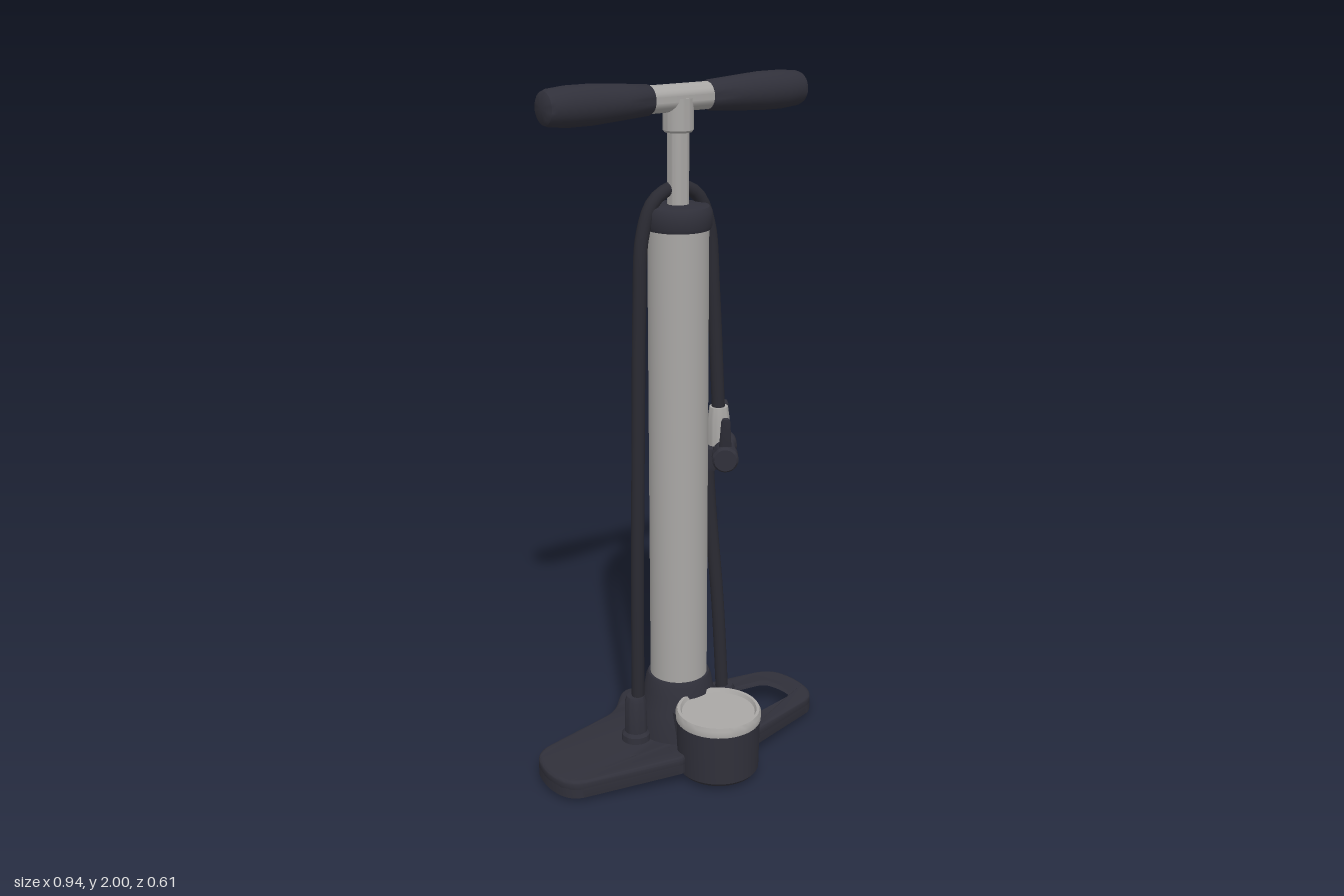
import * as THREE from 'three';
import { toCreasedNormals } from 'three/addons/utils/BufferGeometryUtils.js';

const V = (x, y, z) => new THREE.Vector3(x, y, z);
const AXIS_Z = -0.022; // depth of the pump axis

export function createModel() {
  const group = new THREE.Group();
  const mat = (name, color) => {
    const m = new THREE.MeshStandardMaterial({ color });
    m.name = name;
    return m;
  };
  const dark = mat('dark plastic', 0x30303a);
  const rubber = mat('hose rubber', 0x2a2a32);
  const metal = mat('grey metal', 0xa9a7a5);

  const add = (name, geometry, material, pos = [0, 0, 0]) => {
    const mesh = new THREE.Mesh(geometry, material);
    mesh.name = name;
    mesh.position.set(...pos);
    group.add(mesh);
    return mesh;
  };
  // Turned part from [radius, height] pairs, bottom to top
  const turned = (pts, seg = 40) => toCreasedNormals(
    new THREE.LatheGeometry(pts.map(p => new THREE.Vector2(...p)), seg), 0.6);
  // Turned part whose profile runs from point a towards point b
  const turnedAlong = (name, pts, material, a, b) => {
    const mesh = add(name, turned(pts, 28), material, a.toArray());
    mesh.quaternion.setFromUnitVectors(V(0, 1, 0), b.clone().sub(a).normalize());
    return mesh;
  };
  // Closed path with rounded corners from [x, z, radius] points
  const rounded = (pts, Type = THREE.Path) => {
    const path = new Type();
    const P = pts.map(p => new THREE.Vector2(p[0], -p[1]));
    P.forEach((p, i) => {
      const prev = P[(i + P.length - 1) % P.length], next = P[(i + 1) % P.length];
      const toward = q => p.clone().add(q.clone().sub(p).setLength(
        Math.min(pts[i][2], q.distanceTo(p) * 0.48)));
      const a = toward(prev), b = toward(next);
      if (i === 0) path.moveTo(a.x, a.y); else path.lineTo(a.x, a.y);
      path.quadraticCurveTo(p.x, p.y, b.x, b.y);
    });
    path.closePath();
    return path;
  };

  // Foot plate: deck over a hollow skirt, lifted at the front, lowered at the back
  const half = [[0.12, -0.2, 0.06], [0.2, -0.18, 0.04], [0.445, -0.13, 0.06],
    [0.475, -0.02, 0.06], [0.455, 0.08, 0.05], [0.13, 0.188, 0.02], [0.08, 0.15, 0.02]];
  const outline = [[0, -0.335, 0.07], ...half,
    ...half.map(([x, z, r]) => [-x, z, r]).reverse()];
  const grip = [[0.225, -0.115, 0.02], [0.39, -0.09, 0.03], [0.415, -0.01, 0.04],
    [0.395, 0.055, 0.03], [0.225, 0.085, 0.02], [0.25, 0, 0.05]];
  const smallHoles = [
    [[-0.245, 0.055, 0.01], [-0.19, 0.048, 0.01], [-0.185, 0.08, 0.01]],
    [[0.185, 0.06, 0.006], [0.203, 0.056, 0.006], [0.198, 0.07, 0.006]],
    [[-0.142, 0.09, 0.01], [-0.1, 0.07, 0.01], [-0.122, 0.14, 0.01]],
    [[0.142, 0.09, 0.01], [0.1, 0.07, 0.01], [0.122, 0.14, 0.01]]];
  const hollow = [[0, -0.27, 0.05], [0.1, -0.18, 0.04], [0.2, -0.155, 0.02], [0.2, 0.125, 0.02],
    [0.12, 0.15, 0.02], [0.06, 0.12, 0.02], [-0.06, 0.12, 0.02], [-0.12, 0.15, 0.02],
    [-0.43, 0.06, 0.04], [-0.445, -0.02, 0.04], [-0.42, -0.105, 0.04],
    [-0.2, -0.155, 0.02], [-0.1, -0.18, 0.04]];
  const plate = (holes, y, depth, bevel) => {
    const shape = rounded(outline, THREE.Shape);
    shape.holes = holes.map(h => rounded(h));
    const g = new THREE.ExtrudeGeometry(shape, {
      depth: depth - 2 * bevel, curveSegments: 8, bevelEnabled: bevel > 0,
      bevelSize: bevel, bevelThickness: bevel, bevelOffset: -bevel, bevelSegments: 3 });
    g.rotateX(-Math.PI / 2).translate(0, y + bevel, 0);
    const p = g.attributes.position;
    for (let i = 0; i < p.count; i++) {
      const z = p.getZ(i);
      p.setY(i, p.getY(i) + 0.025 * THREE.MathUtils.smoothstep(z, 0.08, 0.18)
        - 0.012 * THREE.MathUtils.smoothstep(-z, 0.15, 0.3));
    }
    return toCreasedNormals(g, 0.7);
  };
  add('footDeck', plate([grip, ...smallHoles], 0.03, 0.036, 0.01), dark);
  add('footSkirt', plate([grip, hollow], 0.012, 0.03, 0), dark);

  // Barrel, collar and cap
  add('barrelCollar', turned([[0, 0.04], [0.135, 0.04], [0.13, 0.09], [0.118, 0.15],
    [0.104, 0.2], [0.098, 0.235], [0.092, 0.248], [0, 0.248]], 48), dark, [0, 0, AXIS_Z]);
  add('barrel', turned([[0, 0.03], [0.085, 0.03], [0.085, 1.61], [0, 1.61]], 48),
    metal, [0, 0, AXIS_Z]);
  add('barrelCap', turned([[0, 1.6], [0.09, 1.6], [0.094, 1.61], [0.094, 1.65],
    [0.086, 1.662], [0.05, 1.667], [0, 1.667]], 48), dark, [0, 0, AXIS_Z]);

  // Plunger rod and T-handle
  add('plungerRod', turned([[0, 1.65], [0.03, 1.65], [0.03, 1.88], [0, 1.88]]),
    metal, [0, 0, AXIS_Z]);
  add('handleSocket', turned([[0, 1.86], [0.037, 1.86], [0.042, 1.866], [0.042, 1.95],
    [0, 1.95]]), metal, [0, 0, AXIS_Z]);
  turnedAlong('handleBar', [[0, 0], [0.037, 0], [0.037, 0.24], [0, 0.24]], metal,
    V(-0.12, 1.95, AXIS_Z), V(1, 1.95, AXIS_Z));
  for (const s of [1, -1]) {
    turnedAlong(s > 0 ? 'leftGrip' : 'rightGrip', [[0, 0], [0.038, 0], [0.041, 0.006],
      [0.047, 0.09], [0.053, 0.18], [0.053, 0.25], [0.048, 0.305], [0.043, 0.318],
      [0.034, 0.324], [0, 0.326]], dark, V(s * 0.095, 1.95, AXIS_Z), V(s, 1.95, AXIS_Z));
  }

  // Pressure gauge with raised rim and recessed dial, joined to the collar
  add('gaugeBody', turned([[0, 0.015], [0.112, 0.015], [0.12, 0.025], [0.123, 0.182],
    [0, 0.182]], 48), dark, [0, 0, 0.18]);
  add('gaugeRim', turned([[0, 0.18], [0.125, 0.18], [0.126, 0.2], [0.121, 0.21],
    [0.112, 0.21], [0.107, 0.2], [0, 0.2]], 48), metal, [0, 0, 0.18]);
  add('gaugeBridge', new THREE.BoxGeometry(0.16, 0.12, 0.12), dark, [0, 0.105, 0.05]);

  // Hose sockets on the foot
  const socket = h => turned([[0, 0.04], [0.045, 0.04], [0.042, 0.085], [0.034, 0.095],
    [0.032, h - 0.015], [0.026, h], [0, h]], 28);
  add('leftHoseSocket', socket(0.16), dark, [0.158, 0, 0]);
  add('rightHoseSocket', socket(0.21), dark, [-0.157, 0, AXIS_Z]);

  // Hose: loops up over the rod, then down to the chuck and the left socket
  const tube = (name, pts) => add(name, new THREE.TubeGeometry(
    new THREE.CatmullRomCurve3(pts.map(p => V(...p))), 90, 0.019, 14), rubber);
  tube('upperHose', [[-0.15, 0.18, -0.02], [-0.147, 0.6, -0.02], [-0.14, 1.0, -0.02],
    [-0.128, 1.4, -0.025], [-0.113, 1.59, -0.03], [-0.075, 1.68, -0.03], [0, 1.713, -0.03],
    [0.07, 1.685, -0.03], [0.108, 1.6, -0.028], [0.122, 1.4, -0.022], [0.136, 1.04, -0.012]]);
  tube('lowerHose', [[0.112, 0.91, -0.035], [0.12, 0.75, -0.03], [0.137, 0.45, -0.012],
    [0.15, 0.12, 0]]);

  // Valve chuck with fittings and two levers
  const front = V(0.085, 0.937, 0.09), back = V(0.182, 0.937, -0.048);
  const len = front.distanceTo(back);
  turnedAlong('chuckBody', [[0, 0], [0.032, 0], [0.038, 0.008], [0.038, 0.045], [0.033, 0.052],
    [0.033, len - 0.05], [0.038, len - 0.042], [0.038, len - 0.008], [0.032, len], [0, len]],
    dark, front, back);
  add('chuckCollar', turned([[0, 0.95], [0.032, 0.95], [0.032, 1.03], [0.027, 1.065],
    [0, 1.065]], 28), metal, [0.136, 0, -0.012]);
  add('chuckFitting', turned([[0, 0.87], [0.024, 0.87], [0.028, 0.885], [0.028, 0.94],
    [0, 0.94]], 28), dark, [0.112, 0, -0.03]);
  const along = back.clone().sub(front).normalize();
  [[front, 1], [back, -1]].forEach(([end, s], i) => {
    const a = end.clone().addScaledVector(along, s * 0.03).setY(0.955);
    const b = end.clone().addScaledVector(along, s * -0.005).setY(1.068);
    const lever = turnedAlong(i ? 'backLever' : 'frontLever', [[0, 0], [0.02, 0],
      [0.017, 0.03], [0.013, 0.105], [0.009, 0.115], [0, 0.117]], dark, a, b);
    lever.rotateY(Math.atan2(along.x, along.z));
    lever.scale.z = 0.55;
  });

  return group;
}
